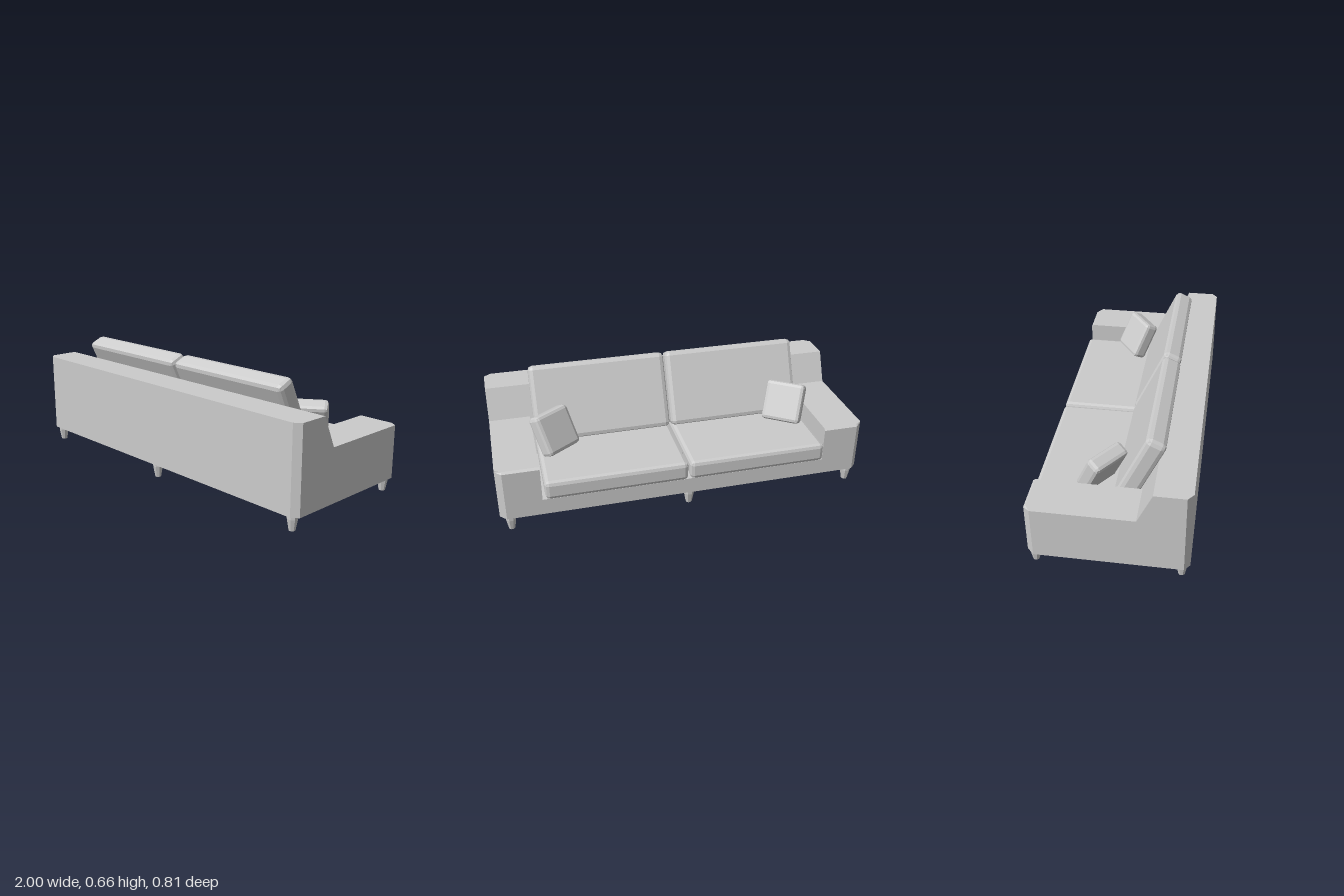
import * as THREE from 'three';
import { RoundedBoxGeometry } from 'three/addons/geometries/RoundedBoxGeometry.js';

const material = new THREE.MeshStandardMaterial({ color: 0xcccccc, flatShading: true });

function addMesh(parent, name, geometry, x = 0, y = 0, z = 0) {
  const mesh = new THREE.Mesh(geometry, material);
  mesh.name = name;
  mesh.position.set(x, y, z);
  parent.add(mesh);
  return mesh;
}

// Box with single flat chamfers
function cushion(parent, name, size, chamfer, position, tilt = 0, yaw = 0) {
  const mesh = addMesh(parent, name, new RoundedBoxGeometry(...size, 1, chamfer), ...position);
  mesh.rotation.set(tilt, yaw, 0, 'YXZ');
}

// Side outline (z, y) carried across the given x stations, from high x to low x;
// the ends at |x| = 1 are narrowed to chamfer the upright corners
function extrudeAcross(outline, stations) {
  const shape = new THREE.Shape(outline.map(([z, y]) => new THREE.Vector2(z, y)));
  const steps = stations.length - 1;
  const geometry = new THREE.ExtrudeGeometry(shape, { depth: steps, steps, bevelEnabled: false });
  geometry.rotateY(-Math.PI / 2);
  const p = geometry.attributes.position;
  for (let i = 0; i < p.count; i++) {
    const x = stations[Math.round(-p.getX(i))];
    p.setX(i, x);
    if (Math.abs(x) === 1) p.setZ(i, THREE.MathUtils.clamp(p.getZ(i), -0.36, 0.375));
  }
  geometry.computeVertexNormals();
  return geometry;
}

export function createModel() {
  const sofa = new THREE.Group();
  sofa.name = 'sofa';

  // Frame: two arms with the raised back corner, and the middle section
  const armOutline = [
    [-0.395, 0.08], [0.403, 0.08], [0.403, 0.53], [0.22, 0.53],
    [0.145, 0.365], [-0.383, 0.365], [-0.395, 0.355],
  ];
  const middleOutline = [
    [-0.395, 0.08], [0.403, 0.08], [0.403, 0.53], [0.22, 0.53],
    [0.056, 0.17], [-0.395, 0.17],
  ];
  addMesh(sofa, 'leftArm', extrudeAcross(armOutline, [1, 0.965, 0.775]));
  addMesh(sofa, 'rightArm', extrudeAcross(armOutline, [-0.775, -0.965, -1]));
  addMesh(sofa, 'baseAndBack', extrudeAcross(middleOutline, [0.775, -0.775]));

  // Seat and back cushions
  for (const [side, x] of [['left', 0.378], ['right', -0.394]]) {
    cushion(sofa, side + 'SeatCushion', [0.762, 0.105, 0.51], 0.022, [x, 0.223, -0.155]);
    cushion(sofa, side + 'BackCushion', [0.762, 0.425, 0.105], 0.025, [x, 0.45, 0.125], 0.43);
  }

  // Throw pillows turned toward the middle
  for (const [side, s] of [['left', 1], ['right', -1]]) {
    cushion(sofa, side + 'Pillow', [0.22, 0.225, 0.085], 0.02, [s * 0.66, 0.382, -0.073], 0.47, s * 0.62);
  }

  // Tapered eight-sided legs
  const legProfile = [[0, 0], [0.017, 0], [0.028, 0.06], [0.028, 0.085], [0, 0.085]]
    .map(([r, y]) => new THREE.Vector2(r, y));
  const legGeometry = new THREE.LatheGeometry(legProfile, 8, Math.PI / 8);
  for (const x of [-0.945, -0.015, 0.945]) {
    for (const z of [-0.362, 0.362]) {
      addMesh(sofa, z < 0 ? 'frontLeg' : 'backLeg', legGeometry, x, 0, z);
    }
  }
  return sofa;
}
